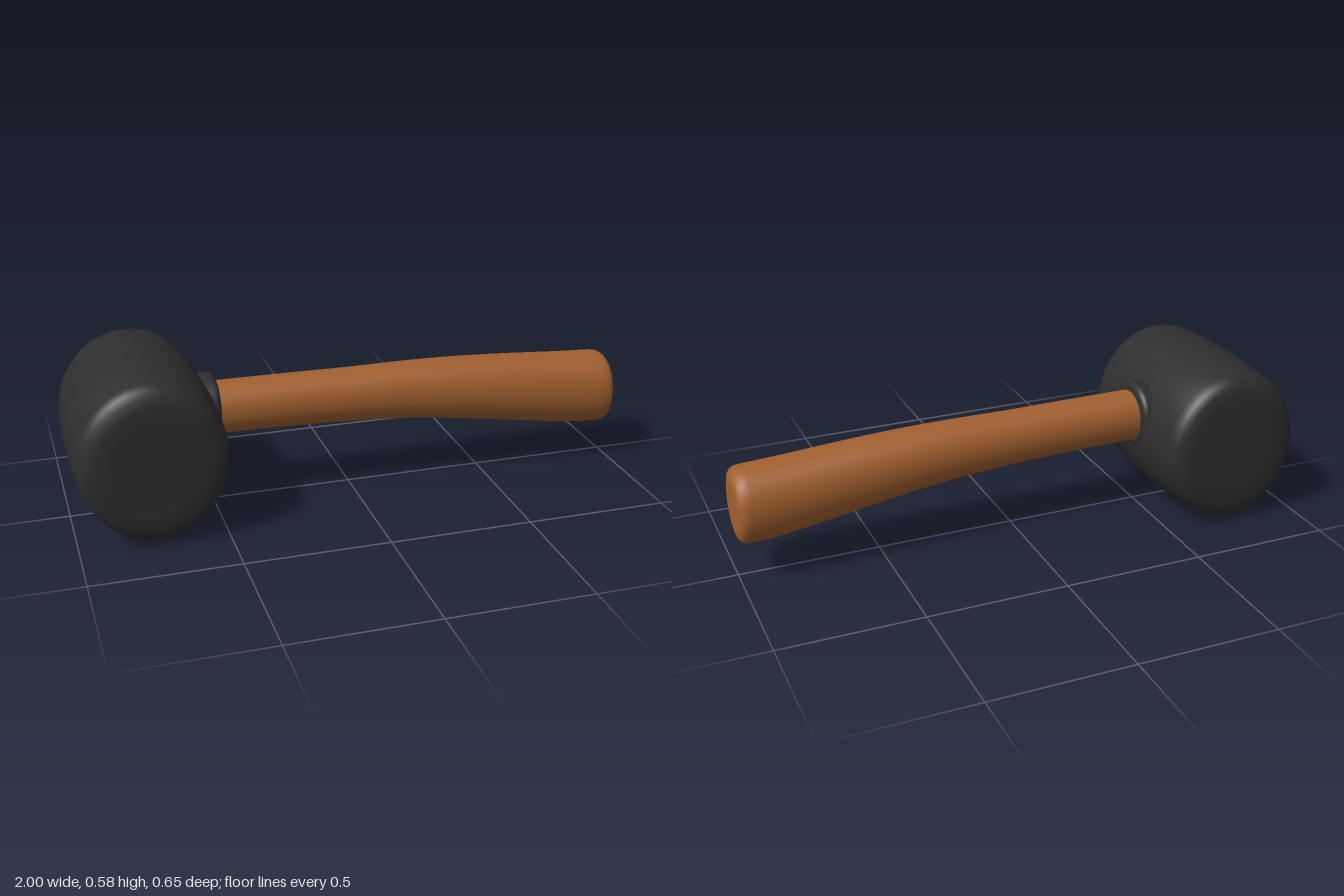
import * as THREE from 'three';

const rubber = new THREE.MeshStandardMaterial({ color: 0x2e2e2e });
rubber.name = 'black rubber';
const wood = new THREE.MeshStandardMaterial({ color: 0xa26030 });
wood.name = 'brown wood';

// Closed smooth loft along x; each section is [x, top, bottom, halfWidth].
function loft(sections, power = 2, sides = 48) {
  const positions = [], index = [];
  const n = sections.length;
  for (const [x, top, bottom, half] of sections) {
    for (let j = 0; j < sides; j++) {
      const a = (j / sides) * Math.PI * 2;
      const c = Math.cos(a), s = Math.sin(a);
      const round = (v) => Math.sign(v) * Math.abs(v) ** (2 / power);
      positions.push(x, (top + bottom) / 2 + ((top - bottom) / 2) * round(c), half * round(s));
    }
  }
  for (let i = 0; i < n - 1; i++) {
    for (let j = 0; j < sides; j++) {
      const k = (j + 1) % sides;
      const a = i * sides + j, b = i * sides + k;
      index.push(a, b, a + sides, b, b + sides, a + sides);
    }
  }
  // End caps
  for (const [ring, flip] of [[0, true], [n - 1, false]]) {
    const [x, top, bottom] = sections[ring];
    const centre = positions.length / 3;
    positions.push(x, (top + bottom) / 2, 0);
    for (let j = 0; j < sides; j++) {
      const a = ring * sides + j, b = ring * sides + ((j + 1) % sides);
      if (flip) index.push(centre, b, a);
      else index.push(centre, a, b);
    }
  }
  const geometry = new THREE.BufferGeometry();
  geometry.setAttribute('position', new THREE.Float32BufferAttribute(positions, 3));
  geometry.setIndex(index);
  geometry.computeVertexNormals();
  return geometry;
}

// Barrel head: bulging profile with soft rims, slightly narrow in x
function makeHead() {
  const half = [[0.29, 0], [0.289, 0.08], [0.284, 0.19], [0.276, 0.27], [0.265, 0.3],
    [0.242, 0.317], [0.21, 0.324], [0.17, 0.326], [0.08, 0.326], [0, 0.326]];
  const lower = half.slice(1).reverse().map(([r, z]) => new THREE.Vector2(r, -z));
  const upper = half.map(([r, z]) => new THREE.Vector2(r, z));
  const geometry = new THREE.LatheGeometry([...lower, ...upper], 72);
  geometry.rotateX(Math.PI / 2);
  geometry.scale(0.262 / 0.29, 1, 1);
  const head = new THREE.Mesh(geometry, rubber);
  head.name = 'malletHead';
  head.position.set(-0.738, 0.29, 0);
  return head;
}

// Handle: flares and droops toward the rounded butt
function makeHandle() {
  const shaft = [
    [-0.6, 0.436, 0.254, 0.09], [-0.45, 0.436, 0.254, 0.09], [-0.2, 0.435, 0.25, 0.09],
    [0, 0.433, 0.242, 0.091], [0.2, 0.434, 0.229, 0.096], [0.4, 0.43, 0.205, 0.105],
    [0.6, 0.42, 0.174, 0.111], [0.8, 0.406, 0.143, 0.117], [0.9, 0.4, 0.132, 0.12],
  ];
  const curves = [1, 2, 3].map((k) => new THREE.SplineCurve(shaft.map((s) => new THREE.Vector2(s[0], s[k]))));
  const sections = [];
  for (let i = 0; i <= 40; i++) {
    const p = curves.map((c) => c.getPoint(i / 40));
    sections.push([p[0].x, p[0].y, p[1].y, p[2].y]);
  }
  sections.push([0.95, 0.398, 0.13, 0.12], [0.972, 0.395, 0.131, 0.119], [0.986, 0.388, 0.137, 0.113],
    [0.995, 0.375, 0.15, 0.101], [0.999, 0.355, 0.17, 0.083], [1, 0.33, 0.195, 0.06]);
  const handle = new THREE.Mesh(loft(sections, 2.15), wood);
  handle.name = 'handle';
  return handle;
}

// Collar: raised rubber lip where the handle enters the head
function makeCollar() {
  const collar = new THREE.Mesh(loft([
    [-0.6, 0.466, 0.226, 0.121], [-0.495, 0.466, 0.226, 0.121], [-0.484, 0.463, 0.229, 0.119],
    [-0.477, 0.453, 0.238, 0.109], [-0.474, 0.437, 0.252, 0.092],
  ], 2.4), rubber);
  collar.name = 'collar';
  return collar;
}

export function createModel() {
  const model = new THREE.Group();
  model.name = 'mallet';
  model.add(makeHead(), makeHandle(), makeCollar());
  return model;
}
